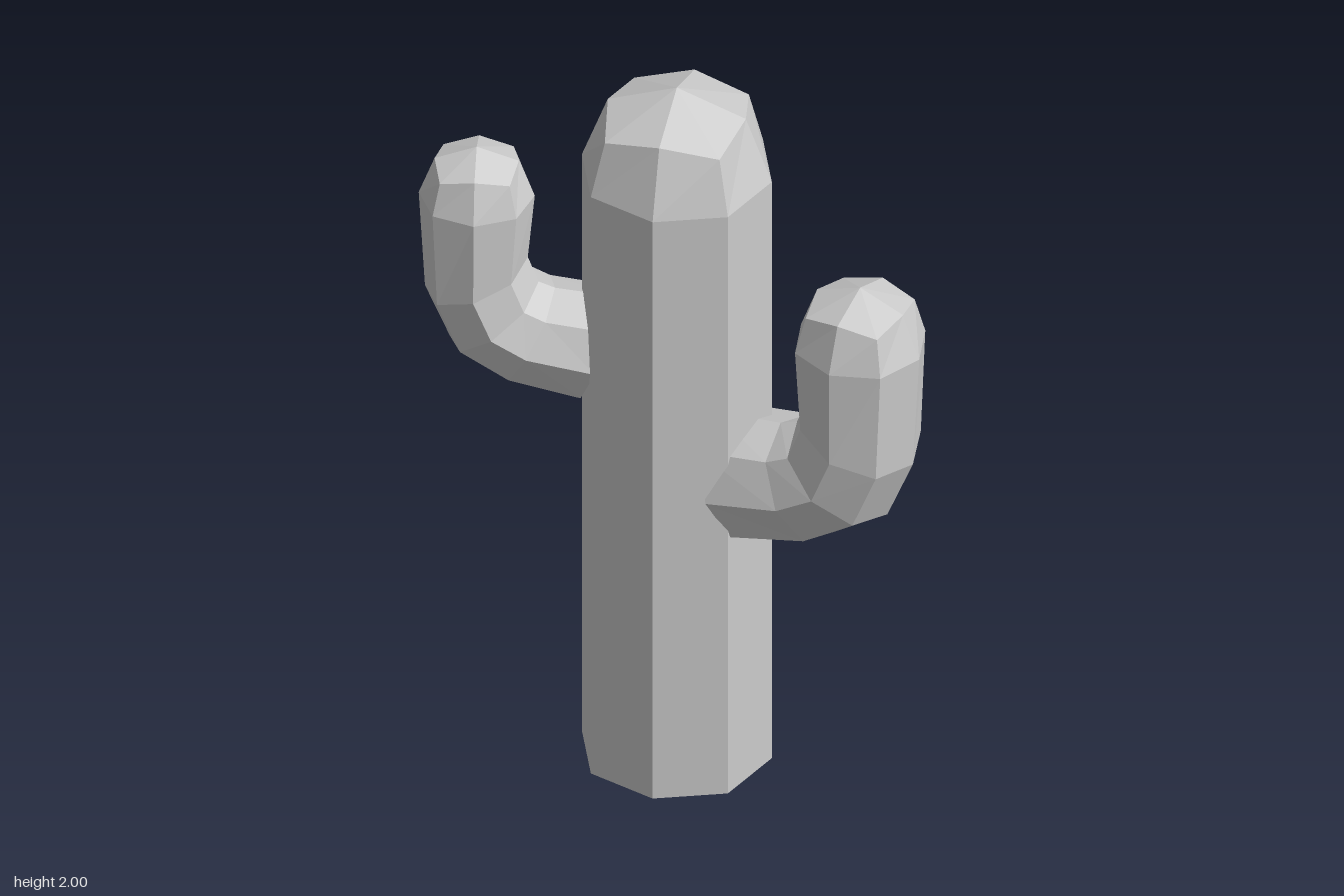
import * as THREE from 'three';

const SIDES = 8;

// Eight-sided stem with a faceted dome, built downwards from its apex at the origin.
// r: head radius; rings: [outerX, outerY, innerX, innerY] pairs for each cross-section.
function stemGeometry(r, rings) {
  const pos = [0, 0, 0];
  // dome ring: axis corners sit higher and closer in than the diagonal ones
  for (let k = 0; k < SIDES; k++) {
    const a = (k / SIDES) * Math.PI * 2;
    const [rad, drop] = k % 2 ? [0.854, 0.388] : [0.727, 0.265];
    pos.push(Math.cos(a) * rad * r, -drop * r, Math.sin(a) * rad * r);
  }
  // body rings, each spanned by its outer and inner point
  for (const [ox, oy, ix, iy] of rings) {
    for (let k = 0; k < SIDES; k++) {
      const a = (k / SIDES) * Math.PI * 2;
      const f = k % 2 ? 1.02 : 1;
      const c = Math.cos(a) * f;
      pos.push(
        (ox + ix) / 2 + (c * (ox - ix)) / 2,
        (oy + iy) / 2 + (c * (oy - iy)) / 2,
        Math.sin(a) * f * r
      );
    }
  }
  const index = [];
  for (let k = 0; k < SIDES; k++) {
    const n = (k + 1) % SIDES;
    index.push(0, 1 + n, 1 + k);
    for (let j = 0; j < rings.length; j++) {
      const p = 1 + j * SIDES, q = p + SIDES;
      index.push(p + k, p + n, q + n, p + k, q + n, q + k);
    }
  }
  const indexed = new THREE.BufferGeometry();
  indexed.setAttribute('position', new THREE.Float32BufferAttribute(pos, 3));
  indexed.setIndex(index);
  const geo = indexed.toNonIndexed();
  geo.computeVertexNormals();
  return geo;
}

export function createModel() {
  const group = new THREE.Group();
  const material = new THREE.MeshStandardMaterial({
    color: 0xcccccc, flatShading: true, side: THREE.DoubleSide,
  });
  const add = (name, geo, x, y, z) => {
    const mesh = new THREE.Mesh(geo, material);
    mesh.name = name;
    mesh.position.set(x, y, z);
    group.add(mesh);
    return mesh;
  };

  // trunk, open at the bottom
  const R = 0.245;
  add('trunk', stemGeometry(R, [[R, -R, -R, -R], [R, -2, -R, -2]]), -0.017, 2, -0.022);

  // arm: upright head, then a bend running into the trunk
  const armGeo = stemGeometry(0.167, [
    [0.167, -0.165, -0.167, -0.165],
    [0.149, -0.49, -0.147, -0.38],
    [0.077, -0.665, -0.178, -0.465],
    [-0.077, -0.77, -0.225, -0.485],
    [-0.288, -0.83, -0.41, -0.51],
  ]);
  const leftArm = add('leftArm', armGeo, 0.487, 1.56, 0.1);
  leftArm.rotation.y = -0.237;

  const rightArm = add('rightArm', armGeo, -0.514, 1.785, 0.053);
  rightArm.rotation.y = Math.PI + 0.195;
  rightArm.scale.setScalar(0.87);

  return group;
}
